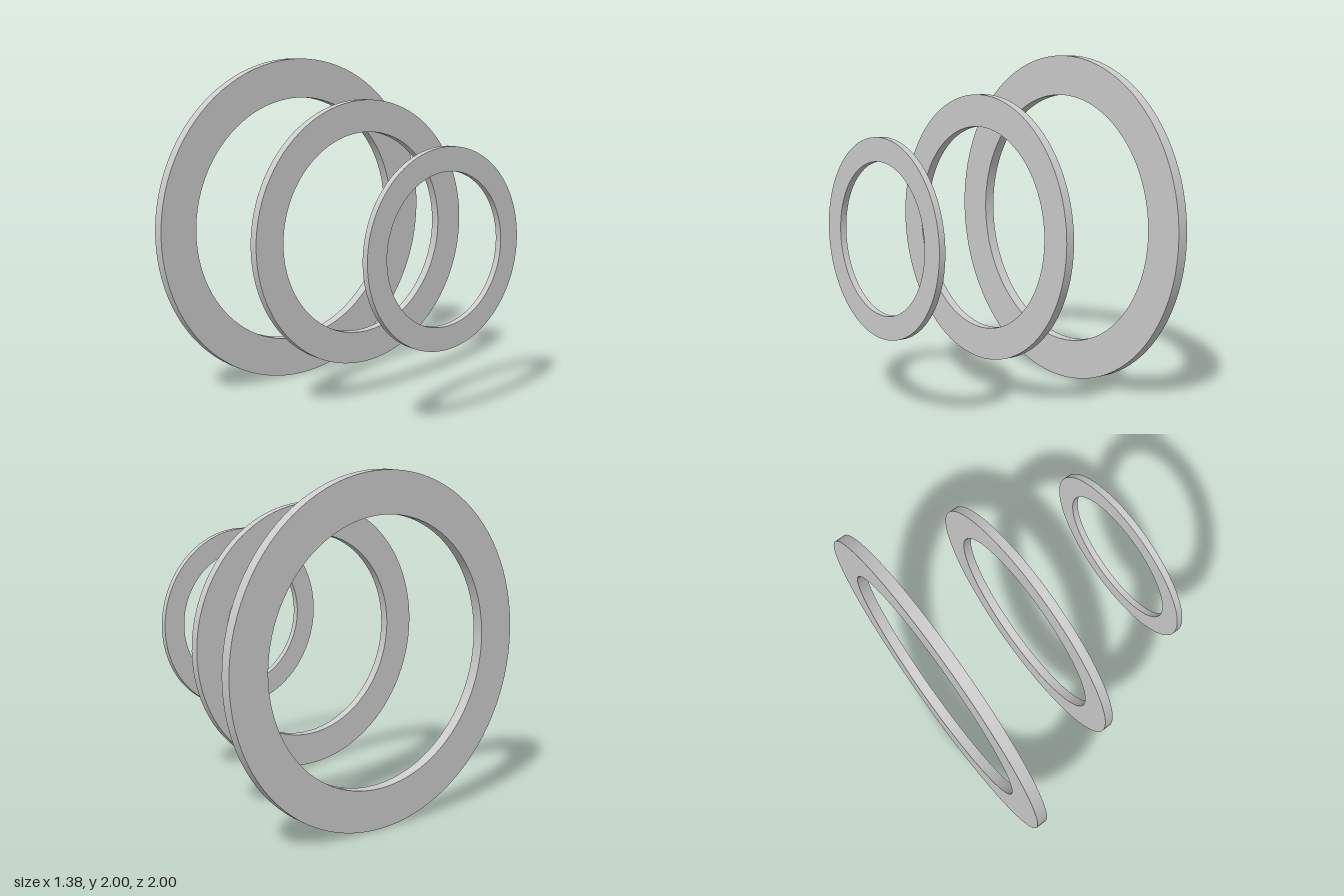
import * as THREE from 'three';
import { toCreasedNormals } from 'three/addons/utils/BufferGeometryUtils.js';

// Flat ring with square edges, its axis along x, starting at x = 0
function ringGeometry(outer, inner, thickness) {
  const shape = new THREE.Shape().absarc(0, 0, outer, 0, Math.PI * 2, false);
  shape.holes.push(new THREE.Path().absarc(0, 0, inner, 0, Math.PI * 2, true));
  const geometry = new THREE.ExtrudeGeometry(shape, {
    depth: thickness, bevelEnabled: false, curveSegments: 48,
  });
  geometry.rotateY(Math.PI / 2);
  return toCreasedNormals(geometry, Math.PI / 6);
}

export function createModel() {
  const group = new THREE.Group();
  const material = new THREE.MeshStandardMaterial({ color: 0xcccccc });

  // Three coaxial rings, shrinking from right to left
  const rings = [
    { name: 'largeRing', x: -0.693, outer: 1, inner: 0.762, thickness: 0.065 },
    { name: 'mediumRing', x: -0.048, outer: 0.781, inner: 0.595, thickness: 0.052 },
    { name: 'smallRing', x: 0.651, outer: 0.566, inner: 0.431, thickness: 0.038 },
  ];
  for (const { name, x, outer, inner, thickness } of rings) {
    const ring = new THREE.Mesh(ringGeometry(outer, inner, thickness), material);
    ring.name = name;
    ring.position.set(x, 1, 0);
    group.add(ring);
  }
  return group;
}
